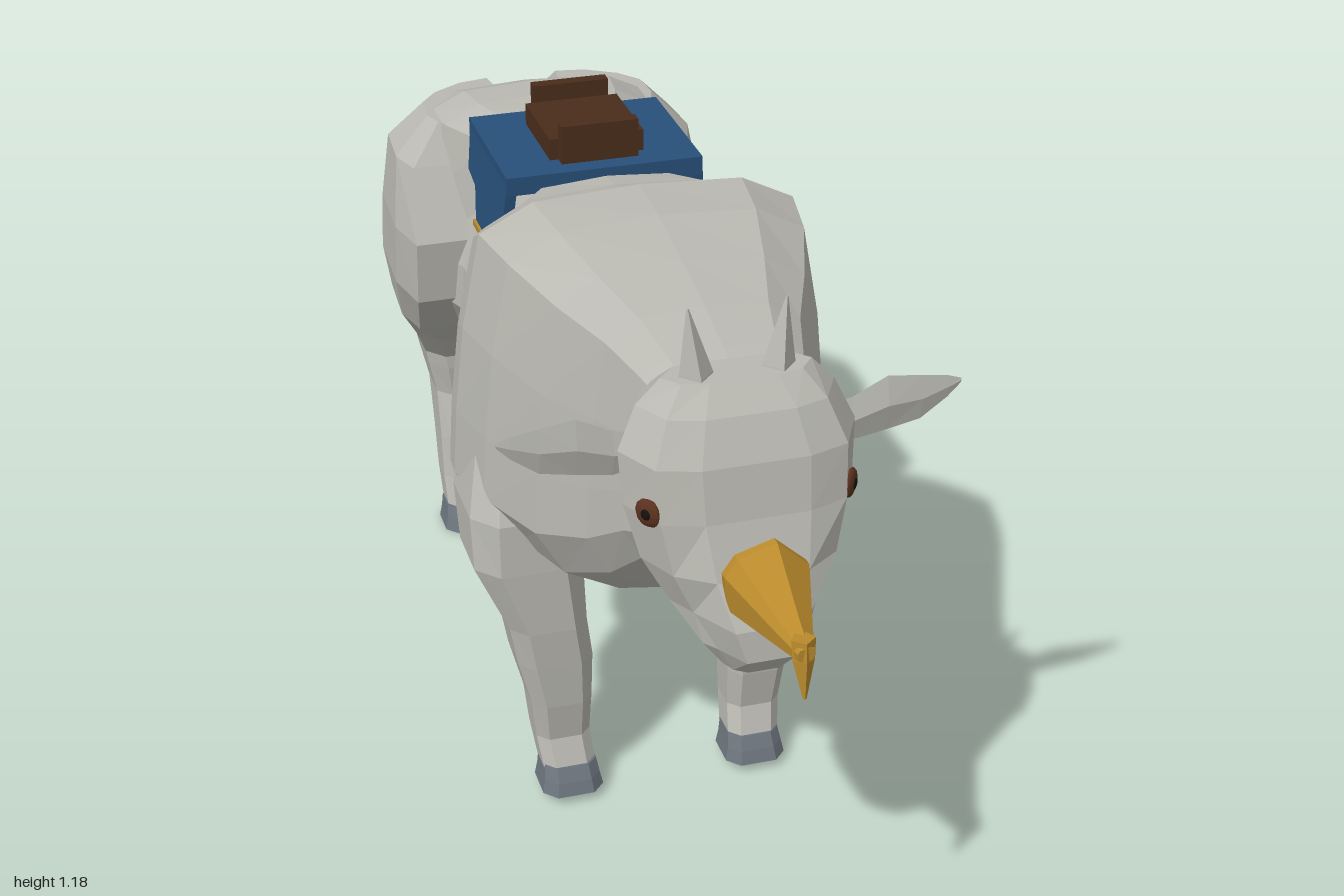
import * as THREE from 'three';

const mat = (name, color) => { const m = new THREE.MeshStandardMaterial({ color }); m.name = name; return m; };

// Flat-shaded skin through rings of [x, y, z] points, capped at both ends and turned outward
function loft(rings) {
  const n = rings[0].length, pos = rings.flat(2), idx = [];
  rings.slice(1).forEach((_, r) => {
    for (let i = 0; i < n; i++) {
      const a = r * n + i, b = r * n + (i + 1) % n;
      idx.push(a, b, a + n, b, b + n, a + n);
    }
  });
  const last = (rings.length - 1) * n;
  for (let i = 1; i < n - 1; i++) idx.push(0, i + 1, i, last, last + i, last + i + 1);
  const P = i => new THREE.Vector3(...pos.slice(i * 3, i * 3 + 3));
  let volume = 0;
  for (let i = 0; i < idx.length; i += 3) volume += P(idx[i]).dot(P(idx[i + 1]).cross(P(idx[i + 2])));
  if (volume < 0) idx.reverse();
  const g = new THREE.BufferGeometry();
  g.setAttribute('position', new THREE.Float32BufferAttribute(pos, 3));
  g.setIndex(idx);
  return flat(g);
}
function flat(g) {
  const out = g.index ? g.toNonIndexed() : g;
  out.computeVertexNormals();
  return out;
}

// Horizontal limb rings: a plain one, and a haunch whose outer rear corner is rounded away
const LIMB = [[.6, 1], [1, .6], [1, -.5], [.5, -1], [-.5, -1], [-1, -.5], [-1, .6], [-.6, 1]];
const HAUNCH = [[.85, 1], [1, .6], [.95, -.08], [.56, -.54], [-.1, -.9], [-.75, -1], [-1, .6], [-.6, 1]];
const limb = (rows, s) => loft(rows.map(([y, cx, rx, cz, rz, outline = LIMB]) => outline.map(([x, z]) => [s * (cx + x * rx), y, cz + z * rz])));
// Adds the mirrored half of an outline
const mirrored = half => [...half, ...half.filter(p => p[0] > 0).reverse().map(([x, ...r]) => [-x, ...r])];

export function createModel() {
  const model = new THREE.Group();
  model.name = 'saddledOx';
  const hide = mat('grey hide', 0xb9b8b1), hoofGrey = mat('hoof grey', 0x6c747c), gold = mat('gold', 0xb98a2c);
  const blue = mat('saddle blue', 0x28507a), brown = mat('saddle brown', 0x4a2d1b);
  const eyeBrown = mat('eye brown', 0x5c3220), black = mat('pupil black', 0x15110f);
  const add = (name, geometry, material) => {
    const m = new THREE.Mesh(geometry, material);
    m.name = name;
    model.add(m);
    return m;
  };
  const box = (name, w, h, d, x, y, z, material) => add(name, new THREE.BoxGeometry(w, h, d), material).position.set(x, y, z);

  // Body: z, top, bottom, half width, narrowing of the upper half
  const outline = mirrored([[0, 1], [.55, .985], [.83, .915], [.93, .66], [.98, .42], [1, .24], [.8, .1], [.42, .02], [0, 0]]);
  const sections = [
    [.62, 1.05, .7, .14], [.56, 1.075, .66, .165], [.46, 1.1, .56, .2], [.34, 1.122, .485, .26],
    [.2, 1.145, .475, .318], [.08, 1.15, .46, .344], [0, 1.105, .452, .335], [-.07, 1.085, .458, .315, .92],
    [-.14, 1.075, .47, .272, .76], [-.2, 1.075, .485, .238, .76], [-.3, 1.075, .525, .205, .82], [-.43, 1.075, .565, .21, .84],
    [-.55, 1.075, .56, .25], [-.64, 1.068, .54, .27], [-.74, 1.03, .52, .27], [-.82, .985, .52, .245],
    [-.89, .915, .53, .19], [-.95, .825, .57, .125], [-.985, .74, .62, .06],
  ];
  add('body', loft(sections.map(([z, t, b, w, k = 1]) => outline.map(([x, y]) => [x * w * (y > .5 ? k : 1), b + y * (t - b), z]))), hide);

  // Head: y, front z, back z, half width, how far forward the cheek edge lies
  const headRows = [
    [1.072, .665, .595, .125, .88], [1.03, .705, .56, .165, .88], [.96, .738, .56, .198, .88], [.87, .755, .57, .193, .88],
    [.78, .785, .585, .17, .8], [.71, .828, .6, .13, .66], [.655, .835, .7, .09, .62], [.612, .8, .73, .058, .8],
  ];
  add('head', loft(headRows.map(([y, f, b, w, cheek]) =>
    mirrored([[.45, 1], [.8, cheek], [1, .45], [.75, 0]]).map(([x, t]) => [x * w, y, b + t * (f - b)]))), hide);

  // Gold beak: faceted cone with a hooked tip
  const beak = [[.015, .05], [-.05, .03], [-.07, 0], [-.065, -.06], [-.03, -.08], [.03, -.08], [.065, -.06], [.07, 0]];
  add('beak', loft([[.785, 1, .8], [.8, 1, .8], [.93, .42, .775], [.985, .2, .768]].map(([z, k, y]) =>
    beak.map(([x, dy]) => [x * k, y + dy * k, z]))), gold);
  add('beakHook', loft([[.785, .02, .97], [.75, .018, .975], [.685, .003, .986]].map(([y, r, z]) =>
    [[-r, y, z], [0, y, z + r * .8], [r, y, z], [0, y, z - r * 1.5]])), gold);

  // Saddle: blanket, seat and raised ends
  box('blanket', .37, .035, .3, 0, 1.075, -.28, blue);
  box('seat', .178, .05, .18, 0, 1.108, -.28, brown);
  for (const z of [-.178, -.382]) box('seatEnd', .145, .08, .024, 0, 1.125, z, brown);

  const flapShape = new THREE.Shape([[.13, 1.085], [.14, .995], [.205, .925], [.33, .925], [.355, .985], [.415, .995], [.425, 1.085]]
    .map(p => new THREE.Vector2(...p)));

  for (const s of [1, -1]) {
    const side = s > 0 ? 'left' : 'right';

    // Horn and ear
    add(side + 'Horn', loft([[1.04, .065, .034, .632], [1.075, .068, .028, .632], [1.185, .081, .002, .625]].map(([y, x, r, z]) =>
      [[s * (x + r), y, z], [s * x, y, z + r], [s * (x - r), y, z], [s * x, y, z - r]])), hide);
    add(side + 'Ear', loft([[.15, .945, .03, .02], [.2, .945, .04, .025], [.26, .965, .05, .03], [.32, .967, .04, .02], [.365, .98, .02, .01], [.388, .988, .004, .003]]
      .map(([x, y, h, d]) => [[s * x, y + h, .62], [s * x, y, .62 + d * .4], [s * x, y - h, .62], [s * x, y, .62 - d]])), hide);

    // Flat eye lying on the cheek, with a pupil
    for (const [name, r, out, material] of [['Eye', .025, 0, eyeBrown], ['Pupil', .01, .007, black]]) {
      const eye = add(side + name, new THREE.SphereGeometry(r, 10, 6), material);
      eye.scale.z = .35;
      eye.rotation.y = s * .9;
      eye.position.set(s * (.168 + out * .78), .883, .711 + out * .62);
    }

    // Saddle flap leaning outward, with gold hem
    const flap = new THREE.ExtrudeGeometry(flapShape, { depth: .02, bevelEnabled: false }).translate(0, 0, -.01).rotateY(Math.PI / 2);
    const p = flap.attributes.position;
    for (let i = 0; i < p.count; i++) p.setX(i, p.getX(i) + s * (.174 + (1.085 - p.getY(i)) * .1));
    add(side + 'SaddleFlap', flat(flap), blue);
    box(side + 'FlapHem', .03, .012, .13, s * .19, .92, -.268, gold);

    // Legs: y, centre x, half width, centre z, half depth
    add(side + 'FrontLeg', limb([
      [.74, .22, .095, .1, .08], [.6, .24, .105, .13, .12], [.5, .243, .1, .153, .105], [.37, .212, .072, .182, .08],
      [.29, .2, .07, .187, .073], [.2, .19, .057, .197, .06], [.12, .187, .051, .195, .052], [.05, .18, .049, .225, .05]], s), hide);
    add(side + 'HindLeg', limb([
      [1.03, .14, .09, -.67, .1, HAUNCH], [.96, .16, .14, -.69, .17, HAUNCH], [.83, .165, .152, -.69, .245, HAUNCH],
      [.7, .163, .154, -.72, .262, HAUNCH], [.58, .15, .142, -.775, .2, HAUNCH], [.48, .135, .11, -.825, .125],
      [.4, .125, .09, -.875, .1], [.37, .122, .087, -.872, .097], [.3, .122, .072, -.858, .076],
      [.2, .14, .054, -.825, .065], [.11, .147, .048, -.8, .052], [.05, .147, .046, -.775, .05]], s), hide);

    // Flared hooves and dewclaws
    for (const [name, x, y, z, heel] of [['Front', .18, .018, .232, .15], ['Hind', .147, 0, -.758, -.85]]) {
      add(side + name + 'Hoof', limb([[y + .05, x, .049, z - .008, .048], [y + .025, x, .053, z, .054], [y, x, .058, z + .003, .06]], s), hoofGrey);
      for (const d of [-.026, .026]) {
        const claw = add(side + name + 'Dewclaw', flat(new THREE.ConeGeometry(.016, .042, 4)), hide);
        claw.position.set(s * (x + d), .105, heel);
        claw.rotation.x = -2.4;
      }
    }
  }
  return model;
}
